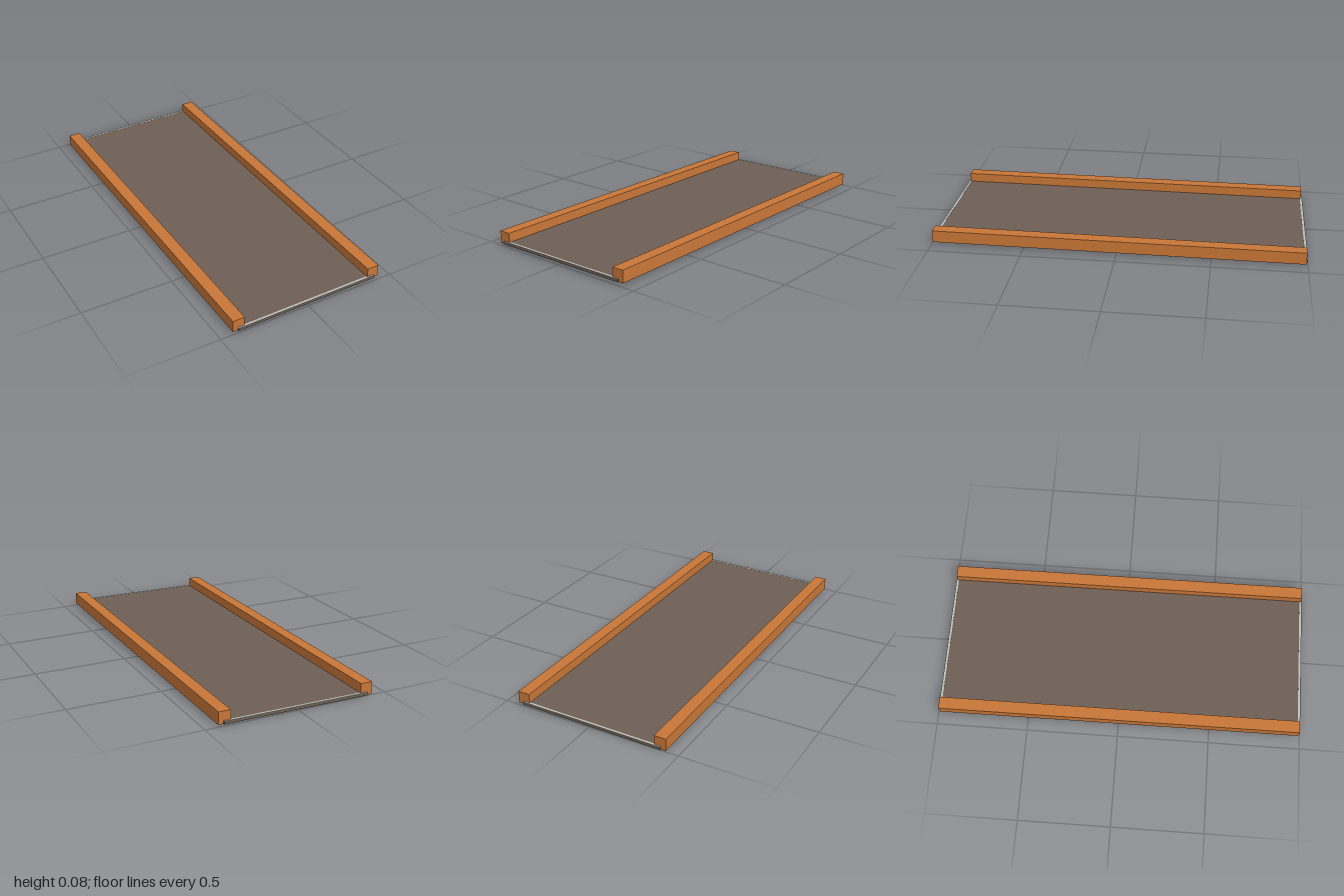
import * as THREE from 'three';

export function createModel() {
  const timber = new THREE.MeshStandardMaterial({ color: 0xc87637 });
  timber.name = 'orange timber';
  const board = new THREE.MeshStandardMaterial({ color: 0x6f5f55 });
  board.name = 'brown board';
  const trim = new THREE.MeshStandardMaterial({ color: 0xbcc0b8 });
  trim.name = 'pale trim';

  const model = new THREE.Group();
  model.name = 'railedDeck';

  // Box given by its bottom height, so layers stack simply
  function slab(name, material, [w, h, d], [x, bottom, z]) {
    const mesh = new THREE.Mesh(new THREE.BoxGeometry(w, h, d), material);
    mesh.name = name;
    mesh.position.set(x, bottom + h / 2, z);
    model.add(mesh);
  }

  // Thin full-width underside and the thicker deck above it
  slab('underside', board, [0.856, 0.001, 1.984], [0, 0, 0]);
  slab('deck', board, [0.8, 0.0155, 2], [0, 0.0008, 0]);

  // Pale strips across both ends of the deck
  for (const s of [-1, 1]) {
    const end = s > 0 ? 'front' : 'back';
    slab(end + 'Trim', trim, [0.8, 0.001, 0.013], [0, 0.016, s * 0.9935]);
  }

  // Square rails along both sides
  for (const s of [-1, 1]) {
    const side = s > 0 ? 'left' : 'right';
    slab(side + 'Rail', timber, [0.065, 0.0655, 1.984], [s * 0.3955, 0.0005, 0]);
  }

  // The whole deck rests at a very slight tilt
  model.rotation.set(-0.0045, 0, 0.0088);
  model.position.y = 0.0084;

  const root = new THREE.Group();
  root.name = 'deckAssembly';
  root.add(model);
  return root;
}
